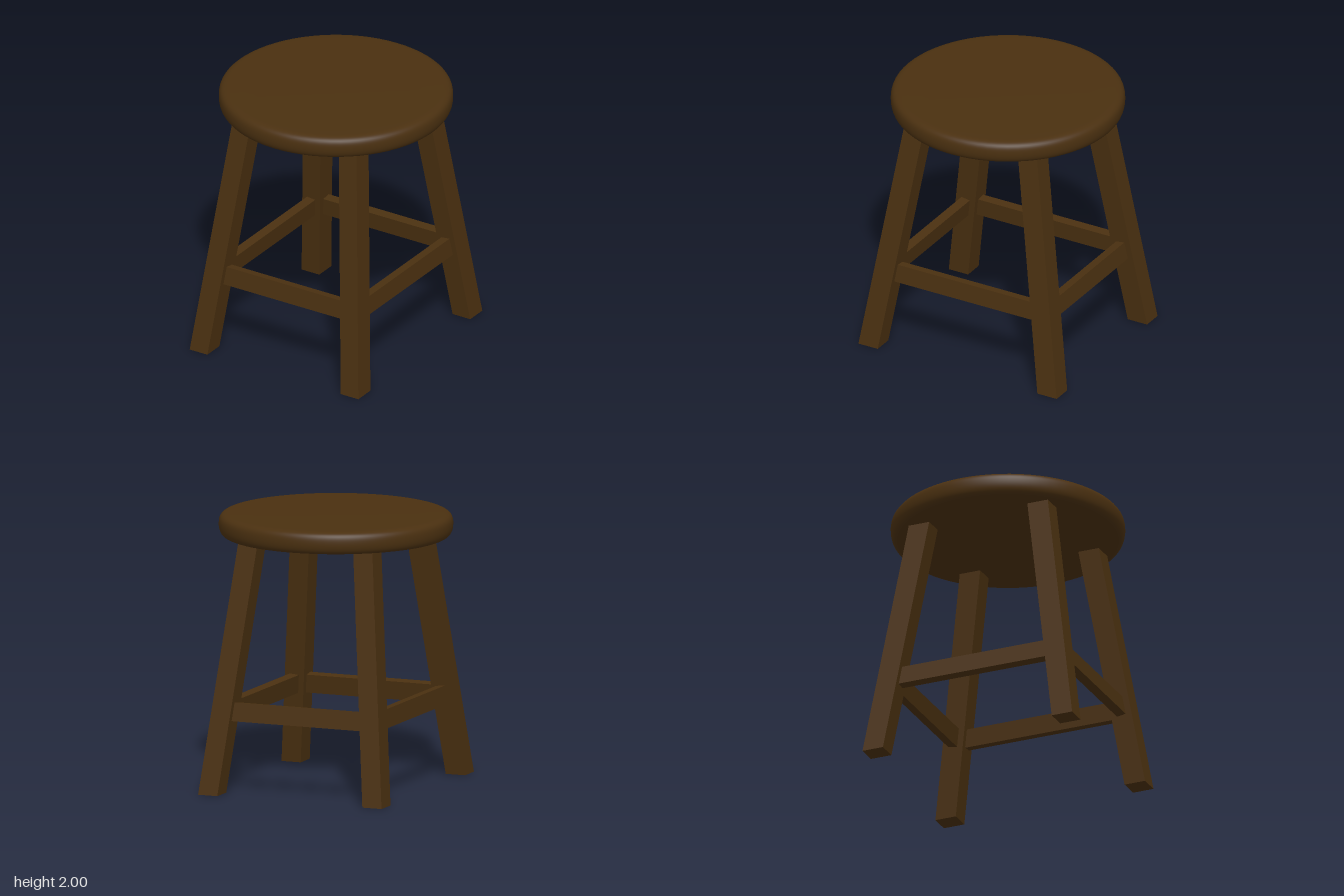
import * as THREE from 'three';

const darkWood = new THREE.MeshStandardMaterial({ color: 0x4a3010 });
darkWood.name = 'darkWood';

// Splay of the legs: horizontal run per unit of height
const FOOT_X = 0.65, FOOT_Z = 0.75, SLOPE_X = 0.107, SLOPE_Z = 0.153;
const legX = (y) => FOOT_X - SLOPE_X * y;
const legZ = (y) => FOOT_Z - SLOPE_Z * y;

function addMesh(group, name, geometry) {
  const mesh = new THREE.Mesh(geometry, darkWood);
  mesh.name = name;
  group.add(mesh);
  return mesh;
}

// Round seat with softly rolled rim
function seatGeometry() {
  const profile = new THREE.Path();
  profile.moveTo(0, 1.83);
  profile.lineTo(0.8, 1.83);
  profile.bezierCurveTo(0.835, 1.832, 0.85, 1.87, 0.85, 1.915);
  profile.bezierCurveTo(0.85, 1.965, 0.835, 1.99, 0.78, 1.995);
  profile.lineTo(0.6, 2);
  profile.lineTo(0, 2);
  return new THREE.LatheGeometry(profile.getPoints(10), 72);
}

// Square leg sheared so that its foot stays level
function legGeometry(sx, sz) {
  const height = 1.86;
  const geometry = new THREE.BoxGeometry(0.152, height, 0.162);
  geometry.translate(0, height / 2, 0);
  const p = geometry.attributes.position;
  for (let i = 0; i < p.count; i++) {
    const y = p.getY(i);
    p.setXYZ(i, p.getX(i) + sx * legX(y), y, p.getZ(i) + sz * legZ(y));
  }
  geometry.computeVertexNormals();
  return geometry;
}

export function createModel() {
  const model = new THREE.Group();
  model.name = 'stool';
  addMesh(model, 'seat', seatGeometry());

  for (const sx of [-1, 1]) {
    for (const sz of [-1, 1]) {
      const name = (sz > 0 ? 'front' : 'back') + (sx > 0 ? 'Left' : 'Right') + 'Leg';
      addMesh(model, name, legGeometry(sx, sz));
    }
  }

  // Rails between the legs, leaning with them
  const railY = 0.598, railHeight = 0.137, railDepth = 0.07;
  for (const s of [-1, 1]) {
    const cross = addMesh(model, s > 0 ? 'frontRail' : 'backRail',
      new THREE.BoxGeometry(2 * legX(railY) - 0.1, railHeight, railDepth));
    cross.position.set(0, railY, s * legZ(railY));
    cross.rotation.x = -s * Math.atan(SLOPE_Z);

    const side = addMesh(model, s > 0 ? 'leftRail' : 'rightRail',
      new THREE.BoxGeometry(railDepth, railHeight, 2 * legZ(railY) - 0.1));
    side.position.set(s * legX(railY), railY, 0);
    side.rotation.z = s * Math.atan(SLOPE_X);
  }
  return model;
}
